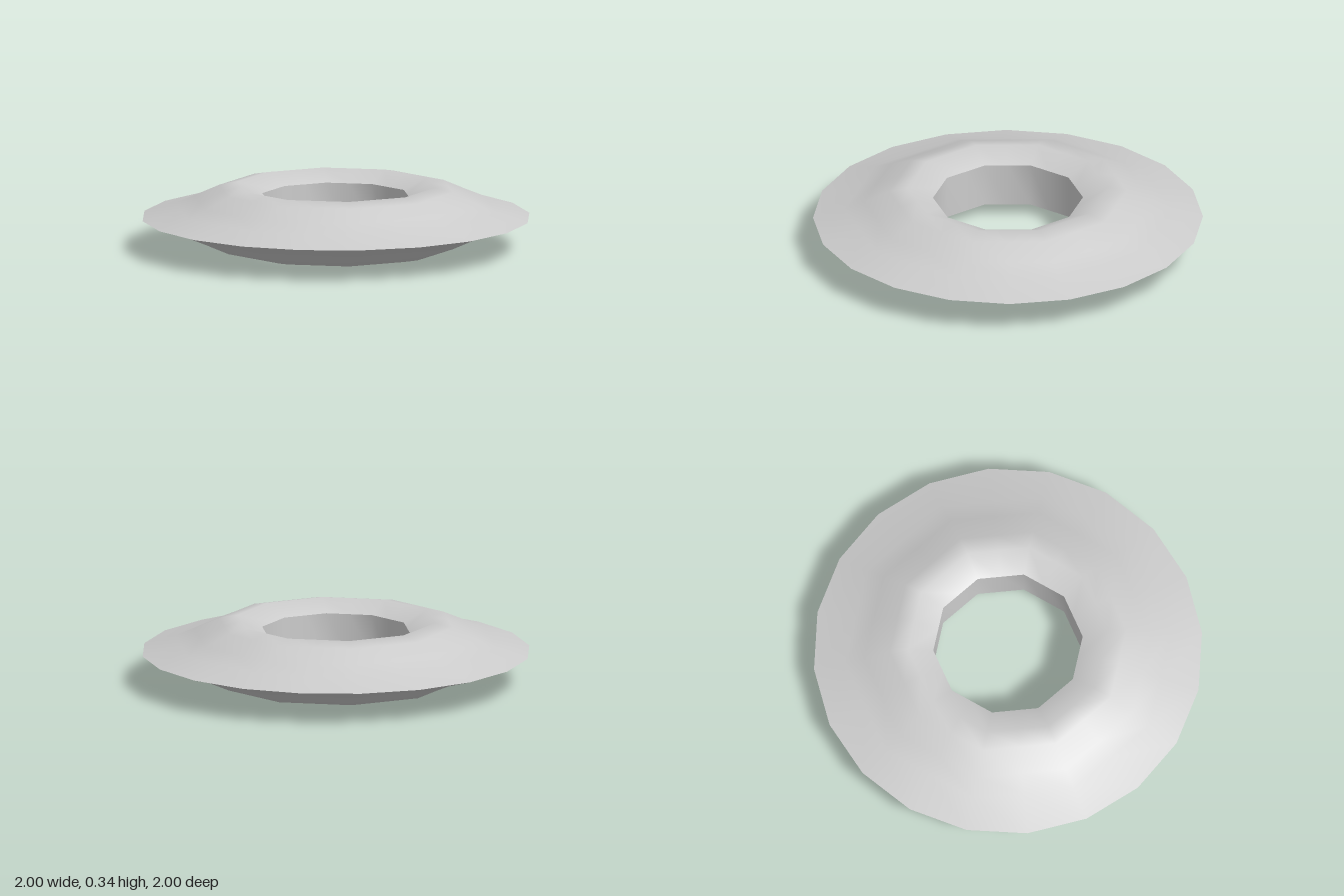
import * as THREE from 'three';
import { mergeVertices } from 'three/addons/utils/BufferGeometryUtils.js';

const HEIGHT = 0.336;

// Revolve a profile in 20 steps; every ring but the outer rim is squared off to a decagon.
function ringSurface(name, profile, material) {
  const points = profile.map(([r, y]) => new THREE.Vector2(r, y));
  let geometry = new THREE.LatheGeometry(points, 20);
  const pos = geometry.attributes.position;
  for (let i = 0; i < pos.count; i++) {
    const step = Math.floor(i / points.length);
    const inner = points[i % points.length].x < 0.99;
    if (inner && step % 2 === 1) {
      const k = Math.cos(Math.PI / 10);
      pos.setXYZ(i, pos.getX(i) * k, pos.getY(i), pos.getZ(i) * k);
    }
  }
  // Weld the seam so that the shading stays smooth all round
  geometry.deleteAttribute('uv');
  geometry.deleteAttribute('normal');
  geometry = mergeVertices(geometry);
  geometry.computeVertexNormals();
  const mesh = new THREE.Mesh(geometry, material);
  mesh.name = name;
  return mesh;
}

export function createModel() {
  const group = new THREE.Group();
  group.name = 'ring';
  const material = new THREE.MeshStandardMaterial({ color: 0xcccccc });

  // Thin rim rising to a raised collar around the hole
  const top = [
    [1, HEIGHT / 2], [0.84, 0.216], [0.74, 0.258],
    [0.61, 0.316], [0.515, HEIGHT], [0.385, 0.28],
  ];
  const bottom = top.map(([r, y]) => [r, HEIGHT - y]).reverse();
  const wall = [[0.385, 0.28], [0.385, HEIGHT - 0.28]];

  group.add(ringSurface('upperFace', top, material));
  group.add(ringSurface('lowerFace', bottom, material));
  group.add(ringSurface('holeWall', wall, material));
  return group;
}
